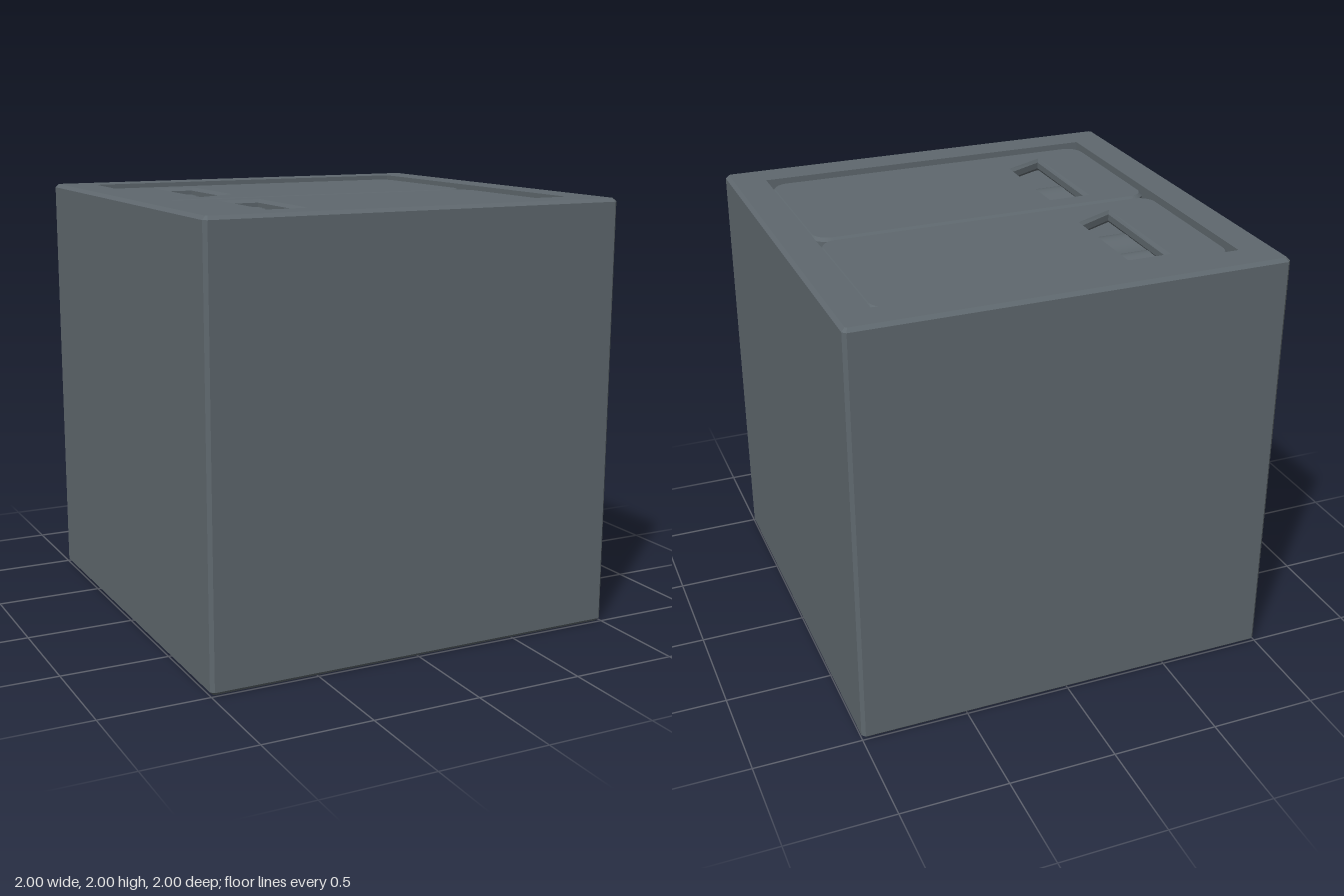
import * as THREE from 'three';

const material = new THREE.MeshStandardMaterial({ color: 0x5f686e, flatShading: true });
const smooth = new THREE.MeshStandardMaterial({ color: 0x5f686e });

function add(parent, name, geometry, mat = material) {
  const mesh = new THREE.Mesh(geometry, mat);
  mesh.name = name;
  parent.add(mesh);
  return mesh;
}

// Square section with cut corners, anticlockwise seen from above
function ring([half, cut, y]) {
  const points = [];
  for (let i = 0; i < 4; i++) {
    const turn = i * Math.PI / 2;
    for (const z of [half - cut, cut - half]) {
      points.push(new THREE.Vector3(half, y, z).applyAxisAngle(new THREE.Vector3(0, 1, 0), turn));
    }
  }
  return points;
}

// Skin joining successive square sections
function loft(sections) {
  const positions = [];
  const rings = sections.map(ring);
  for (let r = 0; r < rings.length - 1; r++) {
    for (let i = 0; i < 8; i++) {
      const j = (i + 1) % 8;
      const [a, b, c, d] = [rings[r][i], rings[r][j], rings[r + 1][j], rings[r + 1][i]];
      for (const p of [a, b, c, a, c, d]) positions.push(p.x, p.y, p.z);
    }
  }
  const geometry = new THREE.BufferGeometry();
  geometry.setAttribute('position', new THREE.Float32BufferAttribute(positions, 3));
  geometry.computeVertexNormals();
  return geometry;
}

// Rounded panel with a slanted finger slot, edges bevelled
function lidGeometry() {
  const w = 0.828, h = 0.41, r = 0.09;
  const shape = new THREE.Shape();
  shape.absarc(w - r, h - r, r, 0, Math.PI / 2);
  shape.absarc(r - w, h - r, r, Math.PI / 2, Math.PI);
  shape.absarc(r - w, r - h, r, Math.PI, Math.PI * 1.5);
  shape.absarc(w - r, r - h, r, Math.PI * 1.5, Math.PI * 2);
  shape.holes.push(new THREE.Path([
    [-0.55, 0.29], [-0.55, -0.28], [-0.375, -0.19], [-0.375, 0.29],
  ].map(([x, y]) => new THREE.Vector2(x, y))));
  const geometry = new THREE.ExtrudeGeometry(shape, {
    depth: 0.03, bevelThickness: 0.015, bevelSize: 0.015, bevelOffset: -0.015,
    bevelSegments: 1, curveSegments: 5,
  });
  return geometry.rotateX(-Math.PI / 2);
}

// Triangular web under the back corner of the slot
function webGeometry() {
  const shape = new THREE.Shape([[-0.56, 0.31], [-0.36, 0.2], [-0.36, 0.31]]
    .map(([x, y]) => new THREE.Vector2(x, y)));
  return new THREE.ExtrudeGeometry(shape, { depth: 0.03, bevelEnabled: false }).rotateX(-Math.PI / 2);
}

export function createModel() {
  const model = new THREE.Group();
  const e = 0.016;

  // Chamfered cube with a square recess in the top
  add(model, 'body', loft([
    [0, 0, 0], [1 - e, e / 2, 0], [1, e, e], [1, e, 2 - e], [1 - e, e / 2, 2],
    [0.833, 0, 2], [0.833, 0, 1.87], [0, 0, 1.87],
  ]));

  // Pair of lids, one behind the other
  const lid = lidGeometry(), web = webGeometry();
  [['backLid', -0.415], ['frontLid', 0.412]].forEach(([name, z]) => {
    const group = new THREE.Group();
    group.name = name;
    group.position.set(0, 1.935, z);
    add(group, 'lidPanel', lid);
    add(group, 'slotWeb', web).position.y = -0.02;
    model.add(group);
  });

  // Rollers seen through the slots: z centre and radius
  [[-0.53, 0.075], [-0.31, 0.108], [0.175, 0.075], [0.4, 0.13]].forEach(([z, r]) => {
    const roller = add(model, 'roller', new THREE.CylinderGeometry(r, r, 0.4, 32).rotateZ(Math.PI / 2), smooth);
    roller.position.set(-0.46, 1.925 - r, z);
  });
  return model;
}
